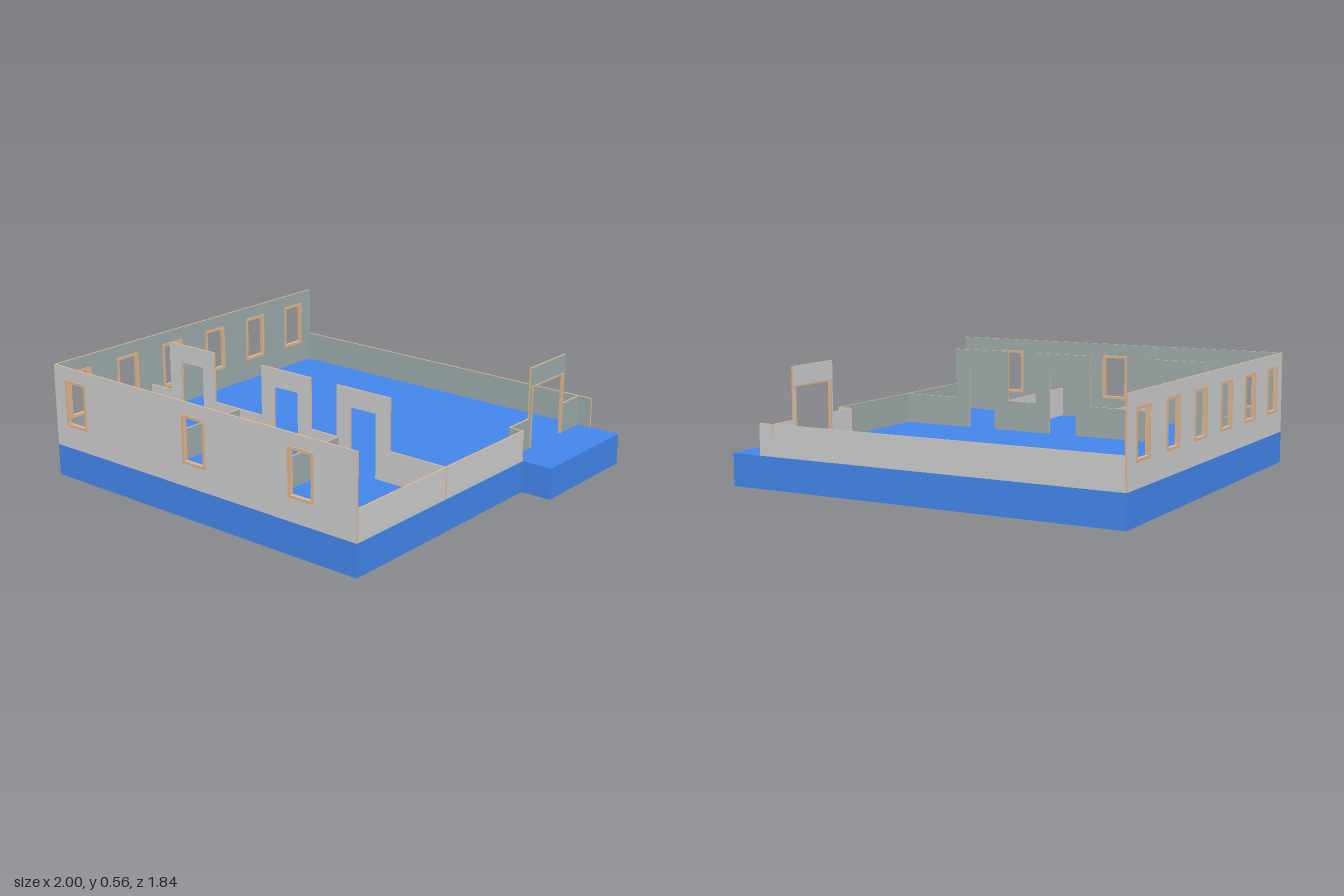
import * as THREE from 'three';

const FLOOR = 0.155, LOW = 0.305, HIGH = 0.555, T = 0.01;
const SILL = 0.265, HEAD = 0.495, WIN_W = 0.14, BAR = 0.013, DOOR_TOP = 0.465;

const mat = (color) => new THREE.MeshStandardMaterial({ color });

export function createModel() {
  const model = new THREE.Group();
  const outer = mat(0xcccccc), inner = mat(0x9caaa9), trim = mat(0xdcb48e), blue = mat(0x4385ea);

  const rect = (P, u0, u1, y0, y1) => new P([
    [u0, y0], [u1, y0], [u1, y1], [u0, y1],
  ].map(([x, y]) => new THREE.Vector2(x, y)));

  const extrude = (shape, depth) => new THREE.ExtrudeGeometry(shape, { depth, bevelEnabled: false });

  // Wall outline along u; each door is a tall surround with an opening from the floor.
  function wallShape(u0, u1, height, doors) {
    const pts = [[u0, FLOOR]];
    for (const d of doors) {
      const a = d.at - d.open / 2, b = d.at + d.open / 2;
      pts.push([a, FLOOR], [a, DOOR_TOP], [b, DOOR_TOP], [b, FLOOR]);
    }
    pts.push([u1, FLOOR], [u1, height]);
    for (const d of [...doors].reverse()) {
      const a = d.at - d.wide / 2, b = d.at + d.wide / 2;
      pts.push([b, height], [b, HIGH], [a, HIGH], [a, height]);
    }
    pts.push([u0, height]);
    return new THREE.Shape(pts.map(([x, y]) => new THREE.Vector2(x, y)));
  }

  // Thin wall: grey on its local +z face, tinted on the other, trim-coloured edges.
  function addWall(name, { from, to, height = LOW, doors = [], windows = [], doorTrim = false, pos, turn = 0 }) {
    const group = new THREE.Group();
    group.name = name;
    const shape = wallShape(from, to, height, doors);
    for (const w of windows) {
      shape.holes.push(rect(THREE.Path, w - WIN_W / 2 + BAR / 2, w + WIN_W / 2 - BAR / 2, SILL + BAR / 2, HEAD - BAR / 2));
    }
    const geo = extrude(shape, T);
    const caps = geo.groups[0].count, sides = geo.groups[1].count;
    geo.clearGroups();
    geo.addGroup(0, caps / 2, 1);
    geo.addGroup(caps / 2, caps / 2, 0);
    geo.addGroup(caps, sides, 2);
    const panel = new THREE.Mesh(geo, [outer, inner, trim]);
    panel.name = name + 'Panel';
    group.add(panel);

    // Window frames stand slightly proud of both faces
    for (const w of windows) {
      const ring = rect(THREE.Shape, w - WIN_W / 2, w + WIN_W / 2, SILL, HEAD);
      ring.holes.push(rect(THREE.Path, w - WIN_W / 2 + BAR, w + WIN_W / 2 - BAR, SILL + BAR, HEAD - BAR));
      const frame = new THREE.Mesh(extrude(ring, T + 0.01), trim);
      frame.name = 'windowFrame';
      frame.position.z = -0.005;
      group.add(frame);
    }

    // Door casing around the opening
    if (doorTrim) {
      for (const d of doors) {
        const h = d.open / 2, b = 0.008;
        const casing = new THREE.Shape([
          [-h, FLOOR], [-h, DOOR_TOP], [h, DOOR_TOP], [h, FLOOR],
          [h - b, FLOOR], [h - b, DOOR_TOP - b], [b - h, DOOR_TOP - b], [b - h, FLOOR],
        ].map(([x, y]) => new THREE.Vector2(d.at + x, y)));
        const mesh = new THREE.Mesh(extrude(casing, T + 0.006), trim);
        mesh.name = 'doorCasing';
        mesh.position.z = -0.003;
        group.add(mesh);
      }
    }
    group.position.set(...pos);
    group.rotation.y = turn;
    model.add(group);
  }

  // Foundation slab with the entrance porch projecting on the left, back corner
  const plan = new THREE.Shape([
    [-0.995, -0.915], [0.845, -0.915], [0.845, 0.31], [1, 0.31], [1, 0.92], [-0.995, 0.92],
  ].map(([x, y]) => new THREE.Vector2(x, y)));
  const slab = new THREE.Mesh(extrude(plan, FLOOR), blue);
  slab.name = 'foundation';
  slab.rotation.x = -Math.PI / 2;
  model.add(slab);

  const Q = Math.PI / 2;

  // Outer walls
  addWall('frontWall', {
    from: -0.995, to: 0.845, height: HIGH, windows: [-0.848, -0.077, 0.545], pos: [0, 0, 0.915 - T],
  });
  addWall('rightSideWall', {
    from: -0.92, to: 0.915, height: HIGH, turn: -Q, pos: [-0.995 + T, 0, 0],
    windows: [0, 1, 2, 3, 4, 5].map((i) => 0.77 - i * 0.3085),
  });
  addWall('backWall', { from: -0.845, to: 0.995, turn: Math.PI, pos: [0, 0, -0.92 + T] });
  addWall('leftSideWall', { from: -0.915, to: 0.31, turn: Q, pos: [0.845 - T, 0, 0] });

  // Recessed entrance
  addWall('entranceReturn', { from: -0.845, to: -0.77, turn: Math.PI, pos: [0, 0, -0.31 + T] });
  addWall('entranceWall', {
    from: -0.92, to: -0.31, turn: -Q, pos: [0.775, 0, 0], doorTrim: true,
    doors: [{ at: -0.615, open: 0.28, wide: 0.305 }],
  });

  // Room partition with three doorways, and two dividers
  addWall('partition', {
    from: -0.995, to: 0.845, pos: [0, 0, 0.295],
    doors: [-0.692, -0.079, 0.383].map((at) => ({ at, open: 0.147, wide: 0.305 })),
  });
  for (const x of [-0.38, 0.237]) {
    addWall('roomDivider', { from: 0.3, to: 0.91, turn: -Q, pos: [x + T / 2, 0, 0] });
  }

  return model;
}
